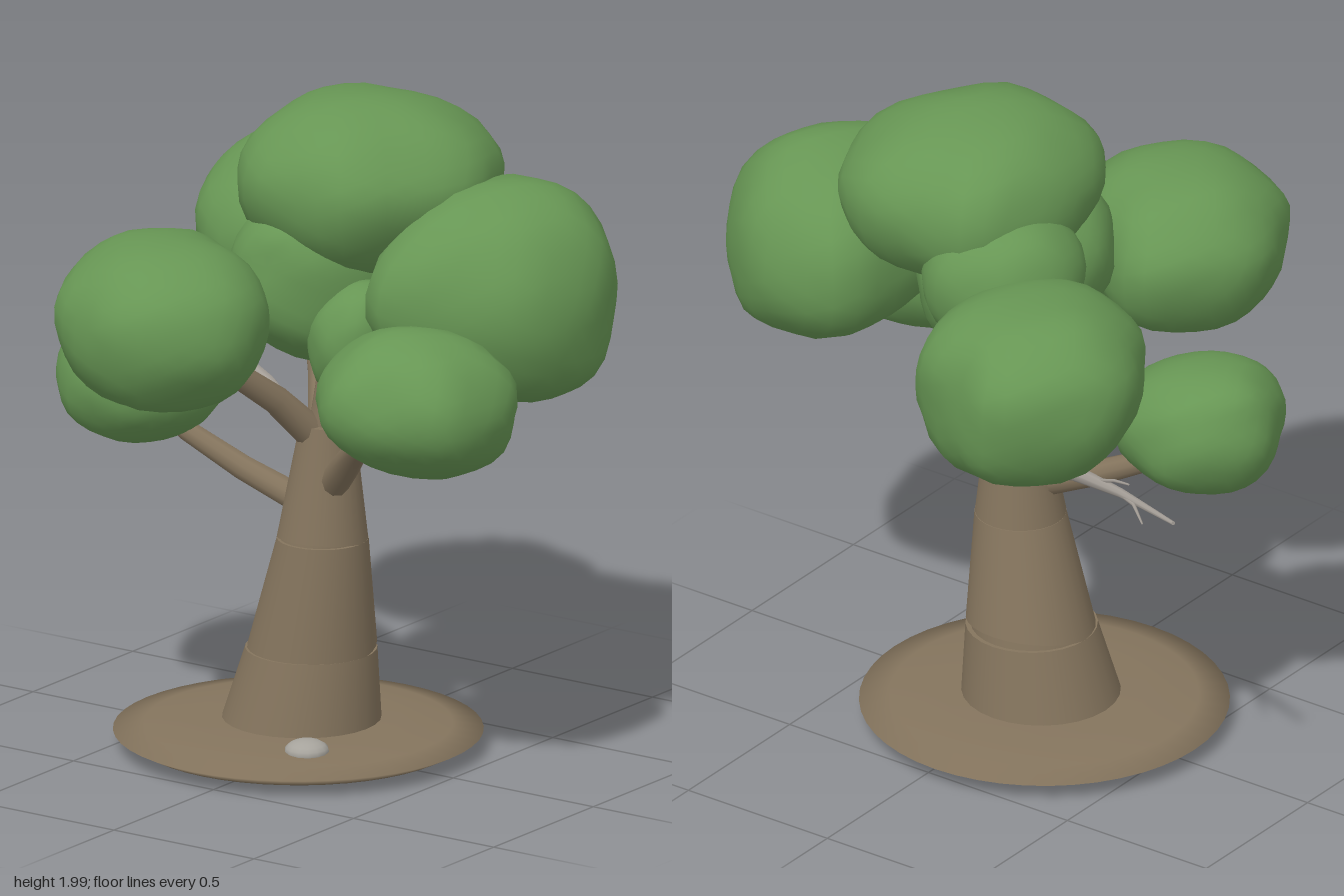
import * as THREE from 'three';
import { mergeVertices } from 'three/addons/utils/BufferGeometryUtils.js';

const mat = (name, color) => {
  const m = new THREE.MeshStandardMaterial({ color });
  m.name = name;
  return m;
};

// Closed skin through a list of rings: { p: centre, r: radius, q: orientation }
function loft(rings, sides) {
  const pos = [], idx = [];
  const v = new THREE.Vector3();
  const addRing = ({ p, r, q }) => {
    const start = pos.length / 3;
    for (let i = 0; i < sides; i++) {
      const a = (i / sides) * Math.PI * 2;
      v.set(Math.sin(a) * r, 0, Math.cos(a) * r).applyQuaternion(q).add(p);
      pos.push(v.x, v.y, v.z);
    }
    return start;
  };
  const starts = rings.map(addRing);
  for (let k = 0; k < rings.length - 1; k++) {
    for (let i = 0; i < sides; i++) {
      const j = (i + 1) % sides, a = starts[k], b = starts[k + 1];
      idx.push(a + i, a + j, b + j, a + i, b + j, b + i);
    }
  }
  // End caps use their own vertices so the rims stay sharp
  const first = addRing(rings[0]), last = addRing(rings[rings.length - 1]);
  for (let i = 1; i < sides - 1; i++) {
    idx.push(first, first + i + 1, first + i);
    idx.push(last, last + i, last + i + 1);
  }
  const g = new THREE.BufferGeometry();
  g.setAttribute('position', new THREE.Float32BufferAttribute(pos, 3));
  g.setIndex(idx);
  g.computeVertexNormals();
  return g;
}

// Tapered limb through points [x, y, z, radius]
function limb(points, sides = 10) {
  const ps = points.map((p) => new THREE.Vector3(p[0], p[1], p[2]));
  const up = new THREE.Vector3(0, 1, 0);
  return loft(points.map((pt, i) => {
    const dir = ps[Math.min(i + 1, ps.length - 1)].clone().sub(ps[Math.max(i - 1, 0)]).normalize();
    return { p: ps[i], r: pt[3], q: new THREE.Quaternion().setFromUnitVectors(up, dir) };
  }), sides);
}

// Trunk piece between two circles [x, y, z, radius]; its lower end may be tilted
function trunkPiece(bottom, top, tiltX, tiltZ) {
  const flat = new THREE.Quaternion();
  const tilted = new THREE.Quaternion().setFromEuler(new THREE.Euler(tiltX, 0, tiltZ));
  const ring = ([x, y, z, r], q) => ({ p: new THREE.Vector3(x, y, z), r, q });
  return loft([ring(bottom, tilted), ring(top, flat)], 28);
}

// Lumpy clump of leaves: plan outline [x, z], heights [bottom, widest, top],
// plan positions of its highest and lowest points, and n for how boxy it is
function leafClump({ outline, y: [y0, yMid, y1], apex, nadir, n }, seed) {
  const box = new THREE.Box2().setFromPoints(outline.map(([x, z]) => new THREE.Vector2(x, z)));
  const c = box.getCenter(new THREE.Vector2());
  const curve = new THREE.CatmullRomCurve3(outline.map(([x, z]) => new THREE.Vector3(x - c.x, 0, z - c.y)), true);
  const rim = curve.getPoints(720);
  const reach = (x, z) => {
    let best = -2, r = 0;
    const h = Math.hypot(x, z) || 1;
    for (const p of rim) {
      const len = Math.hypot(p.x, p.z), dot = (p.x * x + p.z * z) / (len * h);
      if (dot > best) { best = dot; r = len; }
    }
    return r;
  };
  let g = new THREE.IcosahedronGeometry(1, 5);
  g.deleteAttribute('uv');
  g.deleteAttribute('normal');
  g = mergeVertices(g, 1e-4);
  const p = g.attributes.position, v = new THREE.Vector3();
  for (let i = 0; i < p.count; i++) {
    v.fromBufferAttribute(p, i);
    const h = Math.hypot(v.x, v.z);
    const lumps = 0.014 * Math.sin(5 * v.x + 4 * v.y + seed) * Math.cos(4 * v.z + seed) +
      0.016 * Math.sin(7 * v.x + 5 * v.z + seed * 3.3) * Math.sin(6 * v.y + seed);
    v.multiplyScalar((h ** n + Math.abs(v.y) ** n) ** (-1 / n) * (1 + lumps));
    const r = reach(v.x, v.z), end = v.y > 0 ? apex : nadir, t = v.y * v.y;
    p.setXYZ(i,
      c.x + v.x * r + (end[0] - c.x) * t,
      yMid + v.y * (v.y > 0 ? y1 - yMid : yMid - y0),
      c.y + v.z * r + (end[1] - c.y) * t);
  }
  g.computeVertexNormals();
  return g;
}

export function createModel() {
  const tree = new THREE.Group();
  tree.name = 'tree';
  const bark = mat('bark', 0x84745d);
  const leaf = mat('leaf', 0x679654);
  const deadWood = mat('deadWood', 0xa49e97);
  const stoneGrey = mat('stone', 0xa6a39c);
  const add = (name, geometry, material) => {
    const m = new THREE.Mesh(geometry, material);
    m.name = name;
    tree.add(m);
    return m;
  };

  // Low mound of soil with a thin rounded rim
  const profile = [[0, 0.025], [0.48, 0.025], [0.54, 0.055], [0.45, 0.072], [0.3, 0.09], [0, 0.094]]
    .map(([x, y]) => new THREE.Vector2(x, y));
  const mound = add('groundMound', new THREE.LatheGeometry(profile, 48), bark);
  mound.position.set(-0.06, 0, -0.01);

  // Leaning trunk in three pieces; slim wedge cuts open onto a core
  add('trunkBase', trunkPiece([-0.06, 0.025, -0.018, 0.243], [-0.027, 0.305, -0.028, 0.193], 0, -0.09), bark);
  add('trunkMiddle', trunkPiece([-0.027, 0.303, -0.028, 0.193], [0.026, 0.65, -0.011, 0.134], 0.17, 0), bark);
  add('trunkTop', trunkPiece([0.026, 0.647, -0.011, 0.134], [0.04, 1.0, -0.015, 0.08], -0.11, 0.02), bark);
  add('trunkCore', limb([[-0.05, 0.1, -0.02, 0.2], [-0.027, 0.305, -0.028, 0.18], [0.026, 0.65, -0.011, 0.124], [0.038, 0.95, -0.015, 0.07]], 28), bark);

  // Living branches: [x, y, z, radius] along each one
  const branches = {
    lowRightBranch: [[0.0, 0.74, 0.0, 0.045], [-0.22, 0.83, 0.04, 0.038], [-0.4, 0.92, 0.07, 0.032], [-0.55, 1.03, 0.1, 0.022]],
    leftFrontBranch: [[0.08, 0.82, 0.02, 0.045], [0.17, 0.91, 0.08, 0.043], [0.28, 1.01, 0.17, 0.036], [0.42, 1.06, 0.24, 0.032], [0.55, 1.2, 0.31, 0.022]],
    frontBranch: [[0.02, 0.95, 0.0, 0.05], [-0.04, 1.09, 0.13, 0.042], [-0.12, 1.24, 0.32, 0.035], [-0.17, 1.38, 0.46, 0.022]],
    backRightBranch: [[0.02, 0.94, -0.03, 0.05], [-0.11, 1.08, -0.2, 0.043], [-0.24, 1.23, -0.34, 0.035], [-0.38, 1.38, -0.47, 0.022]],
    leftBranch: [[0.06, 0.95, -0.01, 0.05], [0.16, 1.13, -0.04, 0.042], [0.28, 1.33, -0.08, 0.035], [0.52, 1.47, -0.13, 0.022]],
    topBranch: [[0.04, 0.96, -0.015, 0.06], [0.06, 1.2, -0.03, 0.048], [0.1, 1.6, -0.08, 0.03]],
  };
  for (const [name, pts] of Object.entries(branches)) add(name, limb(pts), bark);

  // Bare dead branch and its twigs
  const bare = [
    [[0.0, 0.85, -0.06, 0.034], [-0.17, 0.92, -0.17, 0.03], [-0.34, 0.995, -0.25, 0.025], [-0.6, 1.06, -0.37, 0.014], [-0.885, 1.11, -0.505, 0.006]],
    [[-0.55, 1.05, -0.345, 0.008], [-0.68, 1.07, -0.42, 0.006], [-0.78, 1.08, -0.515, 0.003]],
    [[-0.46, 1.03, -0.31, 0.007], [-0.56, 1.08, -0.35, 0.005], [-0.64, 1.11, -0.39, 0.003]],
  ];
  bare.forEach((pts, i) => add(i ? 'deadTwig' : 'deadBranch', limb(pts, 8), deadWood));

  // Leaf clumps
  const clumps = {
    lowRightLeaves: {
      outline: [[-0.8, 0.05], [-0.73, -0.07], [-0.58, -0.15], [-0.37, -0.09], [-0.29, 0.08], [-0.34, 0.25], [-0.46, 0.34], [-0.66, 0.33], [-0.76, 0.2]],
      y: [0.88, 1.08, 1.28], apex: [-0.6, 0.08], nadir: [-0.56, 0.1], n: 2.1,
    },
    leftFrontLeaves: {
      outline: [[0.82, 0.12], [0.84, 0.31], [0.8, 0.45], [0.64, 0.53], [0.45, 0.56], [0.34, 0.46], [0.26, 0.31], [0.32, 0.13], [0.5, 0.05], [0.7, 0.06]],
      y: [1.0, 1.22, 1.45], apex: [0.56, 0.3], nadir: [0.6, 0.24], n: 1.95,
    },
    frontLeaves: {
      outline: [[-0.27, 0.15], [-0.5, 0.4], [-0.41, 0.72], [-0.3, 0.79], [-0.11, 0.83], [0.03, 0.77], [0.16, 0.57], [0.08, 0.33], [-0.1, 0.21]],
      y: [1.14, 1.41, 1.65], apex: [-0.18, 0.49], nadir: [-0.18, 0.5], n: 2.15,
    },
    leftLeaves: {
      outline: [[0.31, -0.49], [0.6, -0.53], [0.78, -0.42], [0.88, -0.24], [0.82, 0.05], [0.64, 0.18], [0.38, 0.25], [0.27, 0.05], [0.25, -0.25]],
      y: [1.16, 1.46, 1.79], apex: [0.58, -0.18], nadir: [0.68, -0.15], n: 2.05,
    },
    backRightLeaves: {
      outline: [[-0.46, -0.83], [-0.71, -0.57], [-0.62, -0.28], [-0.49, -0.16], [-0.3, -0.13], [-0.1, -0.24], [-0.04, -0.47], [-0.11, -0.71], [-0.28, -0.78]],
      y: [1.13, 1.43, 1.68], apex: [-0.39, -0.5], nadir: [-0.34, -0.54], n: 2.25,
    },
    topLeaves: {
      outline: [[-0.1, -0.43], [0.1, -0.46], [0.27, -0.47], [0.41, -0.38], [0.51, -0.12], [0.4, 0.12], [0.27, 0.26], [-0.1, 0.23], [-0.23, -0.07], [-0.18, -0.31]],
      y: [1.46, 1.75, 2.0], apex: [0.1, -0.09], nadir: [0.15, -0.1], n: 1.97,
    },
    middleLeaves: {
      outline: [[-0.2, 0.05], [-0.12, -0.2], [0.1, -0.3], [0.27, -0.2], [0.28, 0.03], [0.18, 0.24], [-0.02, 0.3], [-0.16, 0.2]],
      y: [1.2, 1.46, 1.69], apex: [0.04, 0.12], nadir: [0.08, -0.03], n: 2.1,
    },
    backMiddleLeaves: {
      outline: [[-0.33, -0.24], [-0.26, -0.4], [-0.13, -0.48], [0.02, -0.48], [0.13, -0.3], [0.06, -0.08], [-0.23, -0.06]],
      y: [1.36, 1.58, 1.78], apex: [-0.12, -0.27], nadir: [-0.1, -0.26], n: 2.1,
    },
    innerLeftLeaves: {
      outline: [[0.09, 0.11], [0.16, -0.02], [0.32, -0.02], [0.39, 0.12], [0.32, 0.26], [0.17, 0.25]],
      y: [1.15, 1.33, 1.5], apex: [0.28, 0.12], nadir: [0.2, 0.12], n: 2.1,
    },
  };
  Object.entries(clumps).forEach(([name, shape], i) => add(name, leafClump(shape, 1 + i * 1.3), leaf));

  // Stone beside the trunk
  const stone = add('stone', new THREE.SphereGeometry(1, 14, 10), stoneGrey);
  stone.scale.set(0.066, 0.036, 0.066);
  stone.position.set(0.148, 0.083, 0.24);

  return tree;
}
